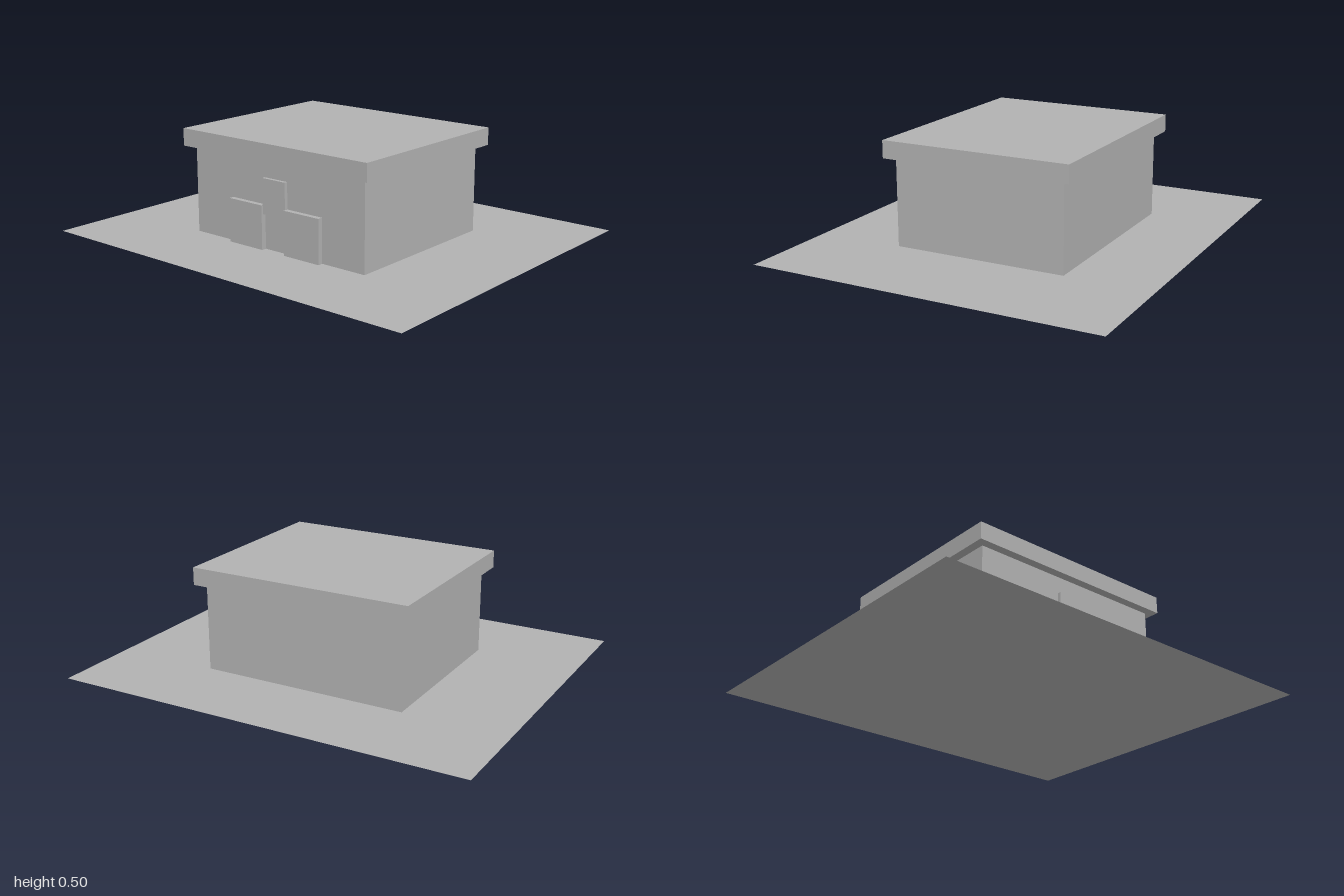
import * as THREE from 'three';

export function createModel() {
  const model = new THREE.Group();
  model.name = 'building';
  const grey = new THREE.MeshStandardMaterial({ color: 0xb2b2b2 });
  grey.name = 'plain grey';
  const groundGrey = grey.clone();
  groundGrey.side = THREE.DoubleSide;
  groundGrey.name = 'ground grey';

  // Box given by its size, centre x, base height and back z
  function block(name, [w, h, d], x, base, back) {
    const mesh = new THREE.Mesh(new THREE.BoxGeometry(w, h, d), grey);
    mesh.name = name;
    mesh.position.set(x, base + h / 2, back + d / 2);
    model.add(mesh);
  }

  // Flat plot, seen from above and below
  const ground = new THREE.Mesh(new THREE.PlaneGeometry(2, 1.6667), groundGrey);
  ground.name = 'ground';
  ground.rotation.x = -Math.PI / 2;
  model.add(ground);

  // Main block and overhanging slab roof
  const wall = 0.4167;
  block('walls', [1, 0.4167, 2 * wall], 0, 0, -wall);
  block('roof', [1.0833, 0.0833, 0.9167], 0, 0.4167, -0.4583);

  // Raised centre panel with a taller-standing door on each side
  block('centrePanel', [0.1333, 0.1667, 0.0167], 0, 0.1667, wall);
  for (const [side, name] of [[1, 'leftDoor'], [-1, 'rightDoor']]) {
    block(name, [0.2, 0.2083, 0.025], side * 0.1667, 0, wall);
  }

  return model;
}
